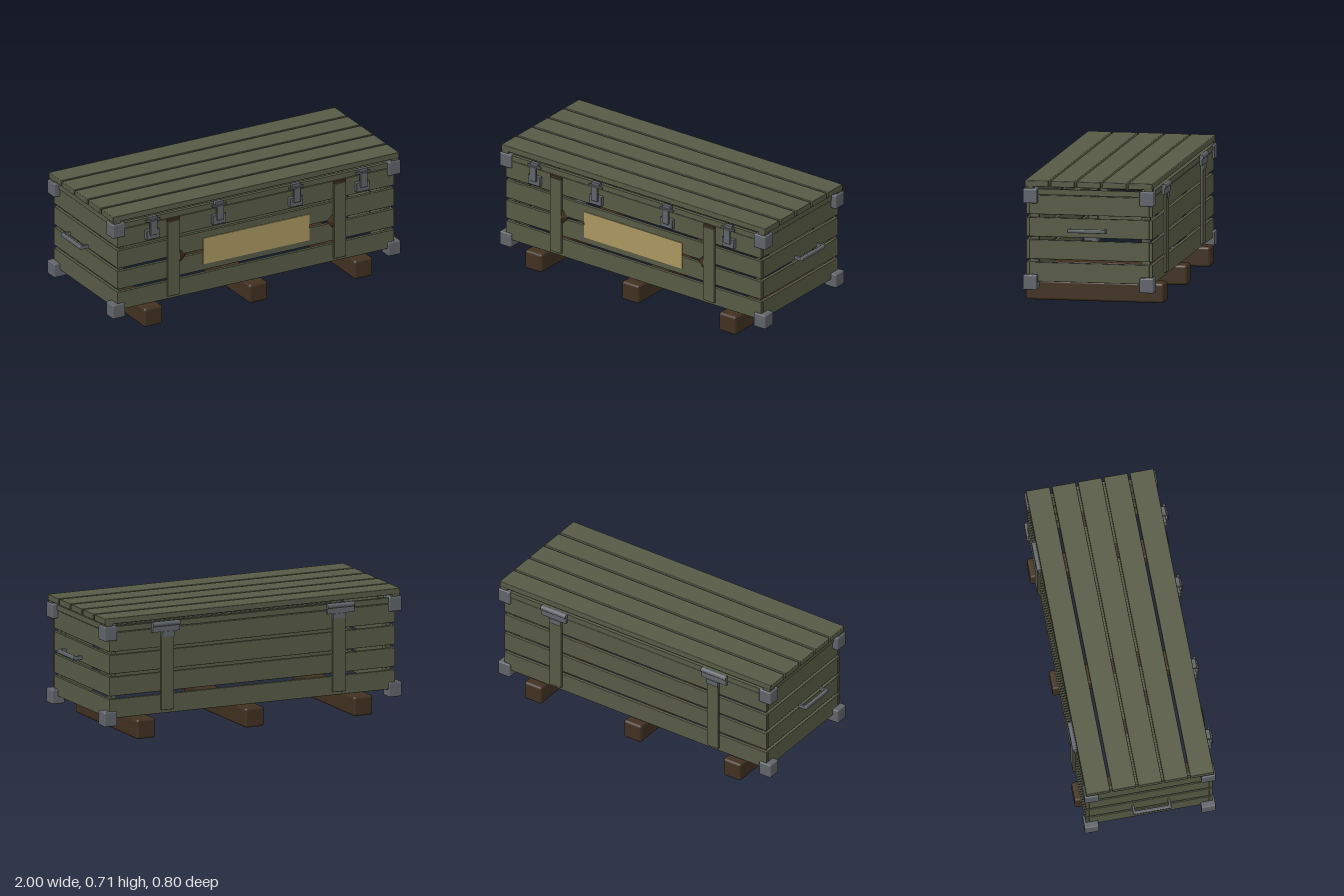
import * as THREE from 'three';
import { RoundedBoxGeometry } from 'three/addons/geometries/RoundedBoxGeometry.js';

const mat = (name, color) => {
  const m = new THREE.MeshStandardMaterial({ color });
  m.name = name;
  return m;
};

export function createModel() {
  const model = new THREE.Group();
  model.name = 'slattedCrate';
  const green = mat('olivePaint', 0x575a45);
  const wood = mat('darkWood', 0x403020);
  const metal = mat('greyMetal', 0x5f6368);
  const tan = mat('tanLabel', 0xa99660);

  // box given by its extents; r rounds the edges
  const box = (name, m, [x0, x1], [y0, y1], [z0, z1], r = 0) => {
    const w = x1 - x0, h = y1 - y0, d = z1 - z0;
    const g = r ? new RoundedBoxGeometry(w, h, d, 2, r) : new THREE.BoxGeometry(w, h, d);
    const mesh = new THREE.Mesh(g, m);
    mesh.name = name;
    mesh.position.set((x0 + x1) / 2, (y0 + y1) / 2, (z0 + z1) / 2);
    model.add(mesh);
    return mesh;
  };
  const span = (c, w) => [c - w / 2, c + w / 2];
  // extents mirrored to the side s
  const side = (s, a, b) => (s > 0 ? [a, b] : [-b, -a]);
  const both = [-1, 1];

  // wall slats
  for (let i = 0; i < 4; i++) {
    const y = [0.13 + i * 0.128, 0.24 + i * 0.128];
    for (const s of both) {
      box('longWallSlat', green, [-0.9, 0.9], y, side(s, 0.345, 0.365), 0.003);
      box('endWallSlat', green, side(s, 0.88, 0.9), y, [-0.345, 0.345], 0.003);
    }
  }

  // corner posts, metal corner blocks and lid spacers
  for (const sx of both) for (const sz of both) {
    box('cornerPost', green, side(sx, 0.85, 0.88), [0.13, 0.624], side(sz, 0.295, 0.345));
    for (const y of [0.085, 0.58])
      box('cornerBlock', metal, side(sx, 0.855, 0.936), [y, y + 0.085], side(sz, 0.295, 0.377), 0.008);
    box('lidSpacer', green, side(sx, 0.88, 0.925), [0.625, 0.68], side(sz, 0.32, 0.368));
  }

  // lid frame and lid planks
  for (const s of both) {
    box('lidLongRail', green, [-0.9, 0.9], [0.628, 0.66], side(s, 0.345, 0.367));
    box('lidEndRail', green, side(s, 0.88, 0.905), [0.628, 0.66], [-0.345, 0.345]);
    box('lidInnerStrip', green, [-0.88, 0.88], [0.645, 0.66], span(s * 0.075, 0.04));
  }
  for (let i = -2; i <= 2; i++)
    box('lidPlank', green, [-0.93, 0.93], [0.675, 0.71], span(i * 0.1493, 0.137), 0.004);

  // bare wood showing in the lid gaps
  for (const [x, z] of [[-0.55, -0.075], [-0.18, -0.075], [0.72, -0.075], [-0.4, 0.075], [-0.16, 0.075], [0.5, 0.075]])
    box('bareWoodPatch', wood, span(x, 0.09), [0.66, 0.664], span(z, 0.03));

  // skids
  for (const x of [-0.683, 0, 0.683])
    box('skid', wood, span(x, 0.12), [0, 0.114], [-0.398, 0.398], 0.015);

  // vertical straps, wooden pegs and rear hinges
  for (const s of both) {
    for (const f of both)
      box('strap', green, span(s * 0.54, 0.08), [0.15, 0.61], side(f, 0.365, 0.38), 0.003);
    box('strapCap', wood, span(s * 0.54, 0.08), [0.61, 0.625], [0.365, 0.375]);

    const peg = new THREE.Mesh(new THREE.ConeGeometry(0.045, 0.045, 4), wood);
    peg.name = 'strapPeg';
    peg.rotation.z = s * Math.PI / 2;
    peg.scale.z = 0.3;
    peg.position.set(s * 0.478, 0.38, 0.366);
    model.add(peg);

    box('hingeLeaf', metal, span(s * 0.55, 0.17), [0.605, 0.65], [-0.382, -0.367]);
    box('hingeTongue', metal, span(s * 0.54, 0.08), [0.575, 0.605], [-0.386, -0.38]);
    const barrel = new THREE.Mesh(new THREE.CylinderGeometry(0.015, 0.015, 0.17, 14), metal);
    barrel.name = 'hingeBarrel';
    barrel.rotation.z = Math.PI / 2;
    barrel.position.set(s * 0.55, 0.65, -0.375);
    model.add(barrel);

    // carrying handle
    box('handleBar', metal, side(s, 0.98, 1), [0.427, 0.449], [-0.11, 0.11], 0.006);
    for (const f of both)
      box('handleLeg', metal, side(s, 0.942, 0.99), [0.425, 0.449], side(f, 0.096, 0.111), 0.004);
  }

  // front latches
  for (const x of [-0.683, -0.25, 0.25, 0.683]) {
    box('latchCatch', metal, span(x, 0.058), [0.65, 0.672], [0.366, 0.391], 0.004);
    box('latchBar', metal, span(x, 0.095), [0.642, 0.655], [0.38, 0.396], 0.004);
    box('latchHasp', metal, span(x, 0.045), [0.56, 0.65], [0.386, 0.402], 0.004);
    box('latchPlate', metal, span(x, 0.085), [0.532, 0.59], [0.366, 0.391], 0.004);
  }

  // blank label on the front
  box('labelPlate', tan, [-0.345, 0.345], [0.295, 0.455], [0.366, 0.37]);

  return model;
}
